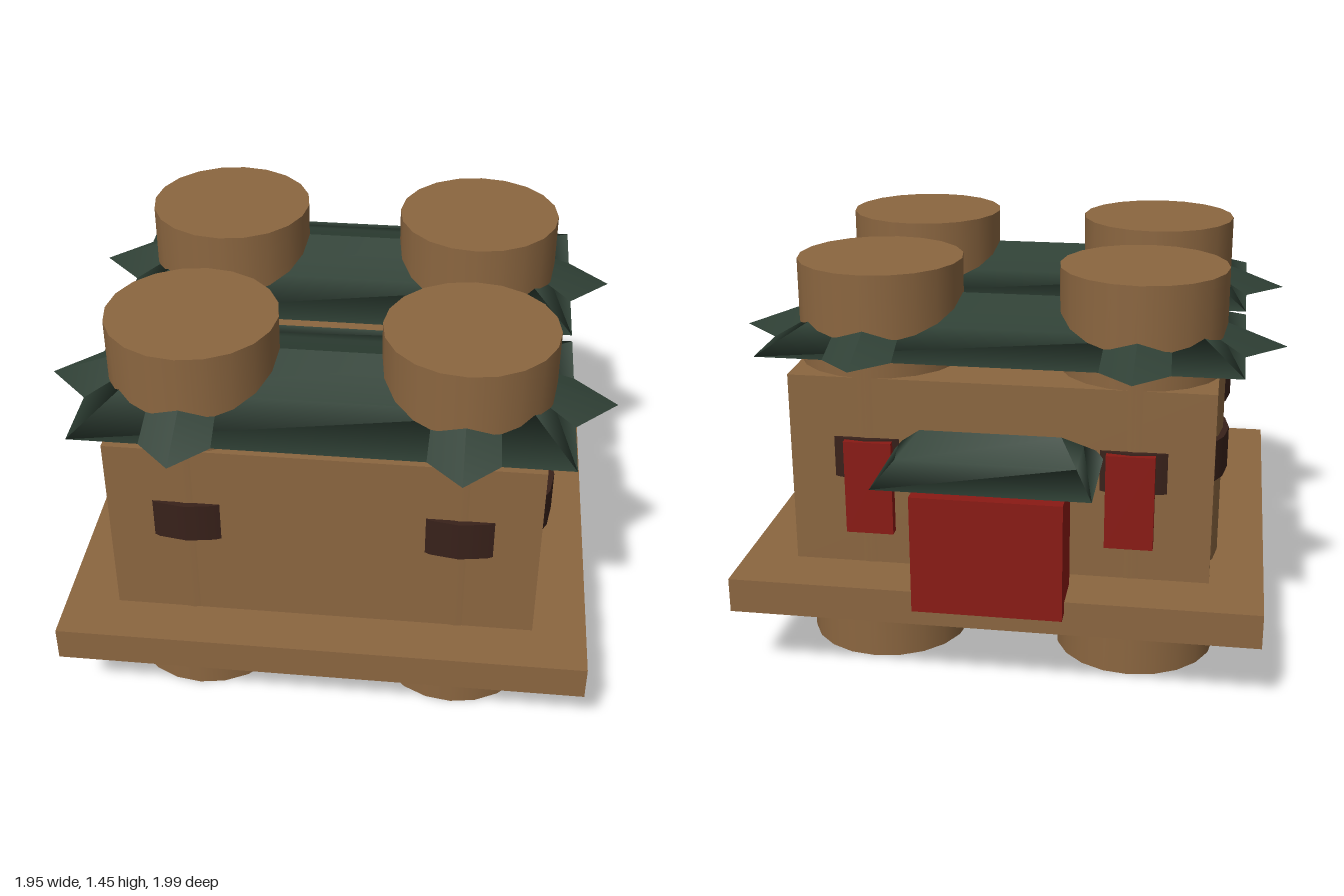
import * as THREE from 'three';

const mat = (color, extra = {}) => new THREE.MeshStandardMaterial({ color, ...extra });

export function createModel() {
  const group = new THREE.Group();
  const wood = mat(0x8b6640), green = mat(0x2f4035);
  const red = mat(0x8a1a14), dark = mat(0x38211a);

  const add = (parent, name, geometry, material, x, y, z) => {
    const mesh = new THREE.Mesh(geometry, material);
    mesh.name = name;
    mesh.position.set(x, y, z);
    parent.add(mesh);
    return mesh;
  };
  const box = (parent, name, material, w, h, d, x, y, z) =>
    add(parent, name, new THREE.BoxGeometry(w, h, d), material, x, y, z);

  // Closed hip roof: rings of four corners run from the eaves to the ridge
  const hipRoof = (halfX, halfZ, ridge, height) => {
    const pos = [], idx = [];
    for (const t of [0, 0.5, 1]) {
      const x = THREE.MathUtils.lerp(halfX, ridge, t), z = halfZ * (1 - t);
      for (const [sx, sz] of [[1, 1], [1, -1], [-1, -1], [-1, 1]]) pos.push(sx * x, t * height, sz * z);
    }
    for (let r = 0; r < 2; r++) {
      for (let i = 0; i < 4; i++) {
        const a = r * 4 + i, b = r * 4 + (i + 1) % 4;
        idx.push(a, b, b + 4, a, b + 4, a + 4);
      }
    }
    idx.push(0, 2, 1, 0, 3, 2);
    const g = new THREE.BufferGeometry();
    g.setAttribute('position', new THREE.Float32BufferAttribute(pos, 3));
    g.setIndex(idx);
    g.computeVertexNormals();
    return g;
  };

  // Base slab
  box(group, 'platform', wood, 1.87, 0.126, 1.79, 0, 0.322, 0.065);

  // Two matching blocks, one behind the other
  for (const [name, z] of [['frontBlock', 0.488], ['backBlock', -0.322]]) {
    const block = new THREE.Group();
    block.name = name;
    block.position.z = z;
    group.add(block);

    box(block, 'walls', wood, 1.49, 0.7, 0.584, 0, 0.735, 0);
    add(block, 'mainRoof', hipRoof(0.83, 0.385, 0.55, 0.15), green, 0, 1.175, 0);

    for (const x of [-0.47, 0.47]) {
      // Round tower running through platform, walls and roof
      add(block, 'tower', new THREE.CylinderGeometry(0.296, 0.296, 1.45, 20), wood, x, 0.725, 0);
      // Dark band that shows as curved windows where it breaks through the walls
      add(block, 'windowBand', new THREE.CylinderGeometry(0.317, 0.317, 0.15, 20), dark, x, 0.79, 0);
      // Pointed skirt roof around the tower
      add(block, 'towerRoof', new THREE.ConeGeometry(0.505, 0.19, 4), green, x, 1.27, 0);
      // Red shutter on the rear wall
      box(block, 'shutter', red, 0.17, 0.345, 0.06, x * 0.98, 0.687, -0.3);
    }
  }

  // Rear porch with its own small hip roof
  box(group, 'porch', red, 0.52, 0.425, 0.21, 0, 0.557, -0.79);
  add(group, 'porchRoof', hipRoof(0.365, 0.215, 0.24, 0.135), green, 0, 0.835, -0.785);

  return group;
}
